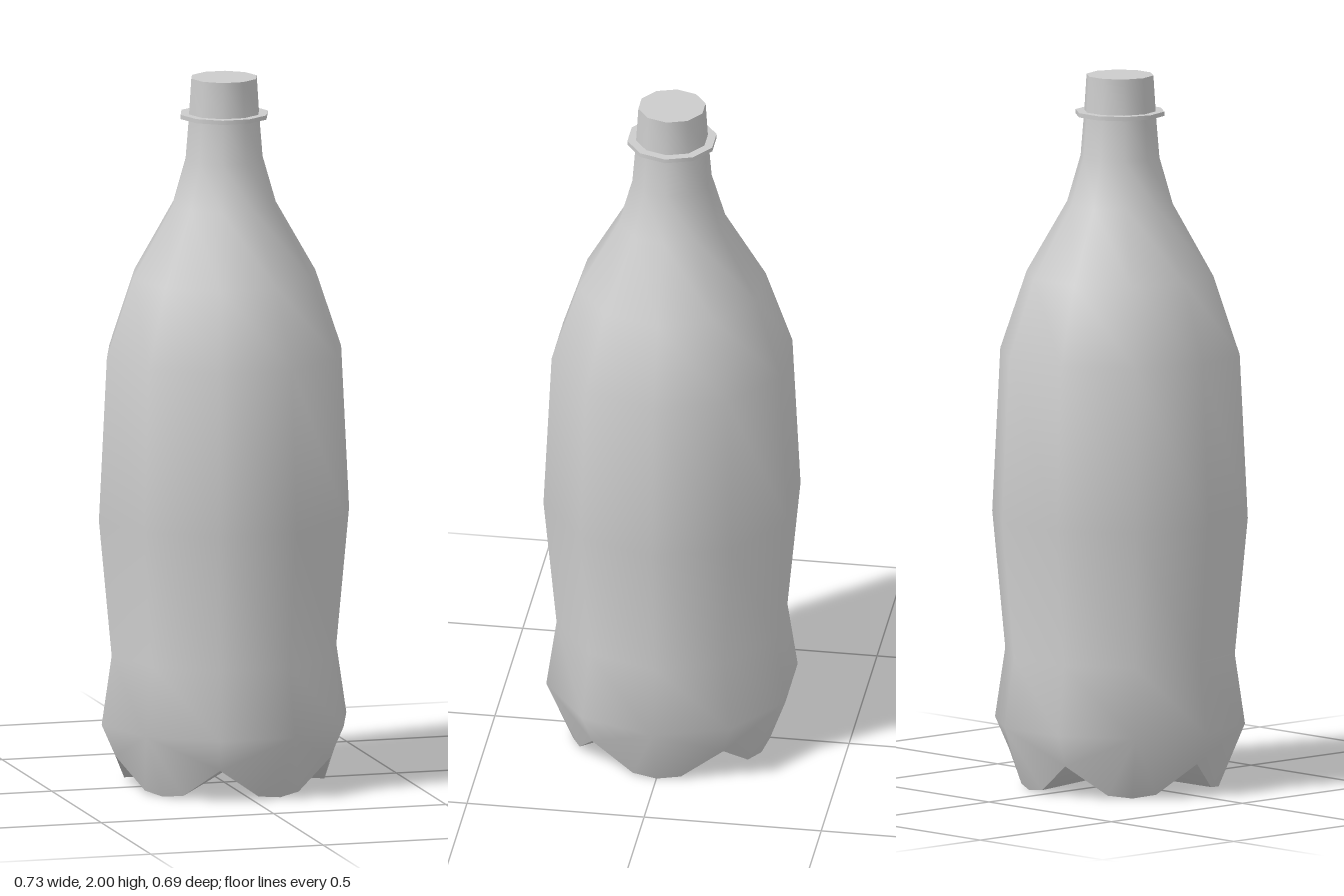
import * as THREE from 'three';
import { toCreasedNormals } from 'three/addons/utils/BufferGeometryUtils.js';

const SIDES = 10;

// Ten-sided bottle wall with five feet and five notches under it
function bottleGeometry() {
  // [radius, height] from the top of the feet to the mouth
  const profile = [
    [0.355, 0.18], [0.326, 0.375], [0.363, 0.76], [0.34, 1.22], [0.265, 1.44],
    [0.15, 1.64], [0.112, 1.77], [0.102, 1.89], [0.095, 2.0],
  ];
  const positions = [];
  const index = [];
  const addPoint = (radius, y, degrees) => {
    const a = THREE.MathUtils.degToRad(degrees);
    positions.push(radius * Math.cos(a), y, radius * Math.sin(a));
    return positions.length / 3 - 1;
  };

  // Wall rings
  for (const [r, y] of profile) {
    for (let i = 0; i < SIDES; i++) addPoint(r, y, i * 36);
  }
  for (let row = 0; row < profile.length - 1; row++) {
    for (let i = 0; i < SIDES; i++) {
      const j = (i + 1) % SIDES;
      const lo = row * SIDES;
      const up = lo + SIDES;
      index.push(lo + i, up + i, up + j, lo + i, up + j, lo + j);
    }
  }

  // Closed mouth
  const topRow = (profile.length - 1) * SIDES;
  const mouth = addPoint(0, 2, 0);
  for (let i = 0; i < SIDES; i++) index.push(topRow + i, mouth, topRow + (i + 1) % SIDES);

  // Lower outline: three points for each foot, one for each notch
  const base = positions.length / 3;
  for (let k = 0; k < 5; k++) {
    addPoint(0.28, 0.008, k * 72 - 14);
    addPoint(0.28, 0, k * 72);
    addPoint(0.28, 0.008, k * 72 + 14);
    addPoint(0.315, 0.09, k * 72 + 36);
  }
  const centre = addPoint(0, 0.03, 0);
  for (let k = 0; k < 5; k++) {
    const b = base + 4 * k;
    const next = base + (4 * k + 4) % 20;
    const foot = 2 * k;
    const notch = foot + 1;
    const nextFoot = (foot + 2) % SIDES;
    index.push(
      b, foot, b + 1, b + 1, foot, b + 2, b + 2, foot, b + 3,
      foot, notch, b + 3, b + 3, notch, nextFoot, b + 3, nextFoot, next,
    );
  }
  // Underside
  for (let j = 0; j < 20; j++) index.push(centre, base + j, base + (j + 1) % 20);

  const geometry = new THREE.BufferGeometry();
  geometry.setAttribute('position', new THREE.Float32BufferAttribute(positions, 3));
  geometry.setIndex(index);
  return toCreasedNormals(geometry, 0.85);
}

export function createModel() {
  const group = new THREE.Group();
  group.name = 'bottle';
  const material = new THREE.MeshStandardMaterial({ color: 0xcccccc });

  const body = new THREE.Mesh(bottleGeometry(), material);
  body.name = 'bottleBody';
  group.add(body);

  // Thin ring round the neck
  const collar = new THREE.Mesh(
    new THREE.CylinderGeometry(0.126, 0.126, 0.012, SIDES, 1, false, Math.PI / 2),
    material,
  );
  collar.name = 'neckCollar';
  collar.position.y = 1.893;
  group.add(collar);

  return group;
}
